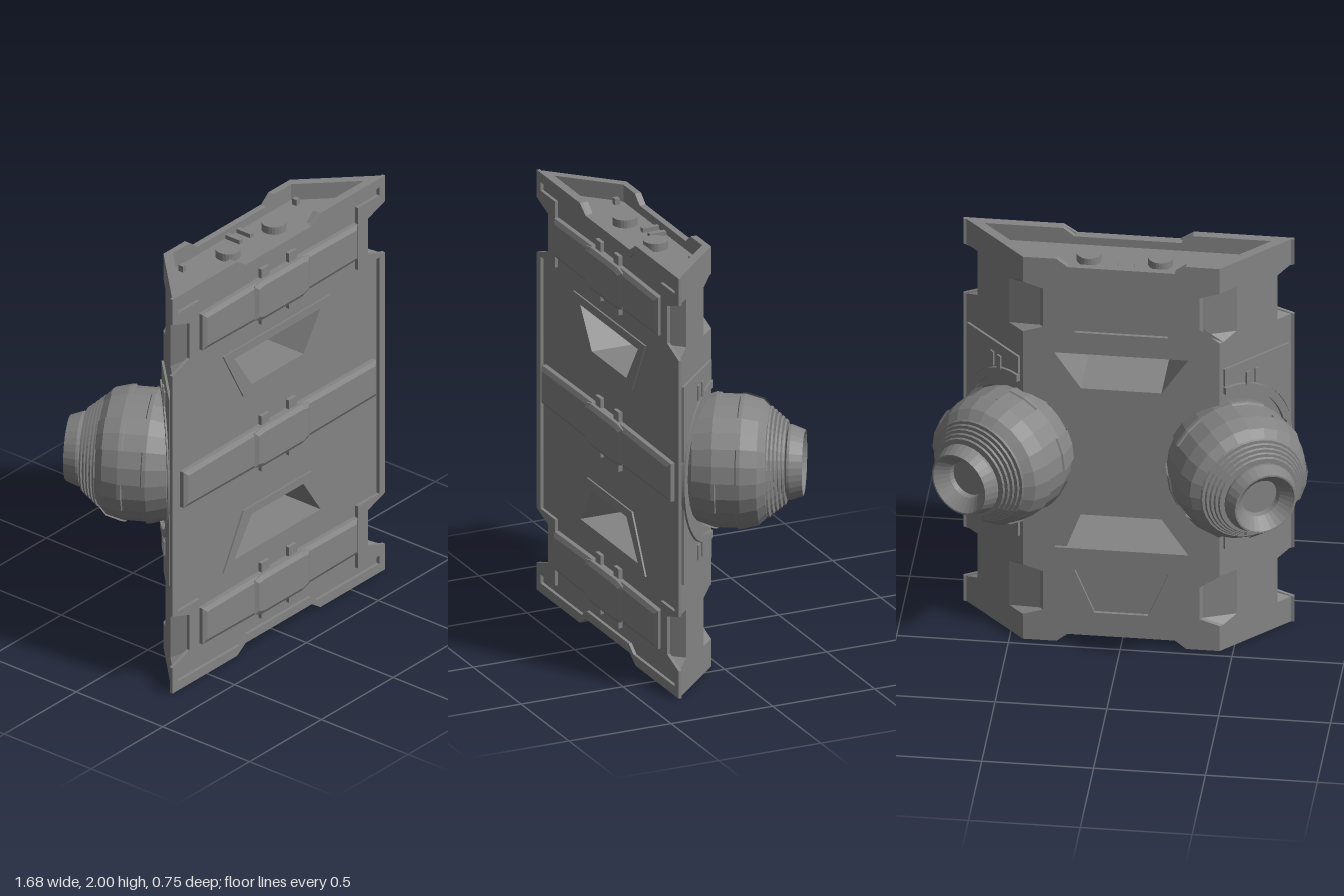
import * as THREE from 'three';

const mat = new THREE.MeshStandardMaterial({ color: 0x848484, flatShading: true, side: THREE.DoubleSide });

function add(parent, name, geo, x = 0, y = 0, z = 0) {
  const m = new THREE.Mesh(geo, mat);
  m.name = name;
  m.position.set(x, y, z);
  parent.add(m);
}
const poly = (pts) => new THREE.Shape(pts.map(([x, y]) => new THREE.Vector2(x, y)));
// Closes a right-hand outline with its mirror image
const mirrorX = (pts) => [...pts, ...pts.map(([x, y]) => [-x, y]).reverse()];
// Closes an upper-right outline (listed upward) in both directions
const mirrorXY = (pts) => mirrorX([...pts.map(([x, y]) => [x, 2 - y]).reverse(), ...pts]);
const extrude = (shape, depth, steps = 1) =>
  new THREE.ExtrudeGeometry(shape, { depth, steps, bevelEnabled: false });
const extrudeUp = (shape, depth) => extrude(shape, depth).rotateX(-Math.PI / 2);
// Trapezoid, wide at y0 and narrow at y1
const trapezoid = (wide, narrow, y0, y1) => [[-wide, y0], [wide, y0], [narrow, y1], [-narrow, y1]];
const windows = [trapezoid(0.3, 0.18, 1.51, 1.33), trapezoid(0.3, 0.18, 0.49, 0.67)];

// Body slab: front outline swept backward, sides sloping in, corners notched
function slab(z0, z1, steps, holes) {
  const s = poly(mirrorXY([[0.74, 1.61], [0.67, 1.64], [0.67, 1.84], [0.74, 1.87], [0.74, 1.92]]));
  s.holes = holes.map(poly);
  const g = extrude(s, z1 - z0, steps).translate(0, 0, z0);
  const p = g.attributes.position;
  for (let i = 0; i < p.count; i++) {
    const x = Math.abs(p.getX(i)), z = p.getZ(i);
    if (x < 0.6) continue;
    let nx = 0.74 - (0.34 - z);
    if (x < 0.7) {
      if (z > 0.3) nx -= 0.105;
      if (z < 0.06) nx -= 0.09;
    }
    p.setX(i, Math.sign(p.getX(i)) * nx);
  }
  g.computeVertexNormals();
  return g;
}

function buildBody(g) {
  add(g, 'bodyCore', slab(0.055, 0.325, 5, windows));
  add(g, 'backPlate', slab(0.04, 0.055, 1, [...windows,
    trapezoid(0.21, 0.12, 1.62, 1.84), trapezoid(0.21, 0.12, 0.38, 0.16)]));

  // Raised frame around the front
  const frame = poly(mirrorXY([[0.74, 1.61], [0.62, 1.65], [0.62, 1.83], [0.74, 1.87],
    [0.74, 2], [0.29, 2], [0.23, 1.96]]));
  frame.holes = [poly(mirrorXY([[0.7, 1.6], [0.55, 1.6], [0.55, 1.915], [0.7, 1.915],
    [0.7, 1.955], [0.27, 1.955], [0.22, 1.92]]))];
  add(g, 'frontFrame', extrude(frame, 0.015), 0, 0, 0.325);

  // Window surrounds
  [trapezoid(0.375, 0.235, 1.55, 1.29), trapezoid(0.375, 0.235, 0.45, 0.71)].forEach((pts, i) => {
    const s = poly(pts);
    s.holes = [poly(windows[i])];
    add(g, 'windowFrame', extrude(s, 0.008), 0, 0, 0.325);
  });
}

// End of the slab: rim wall with a lowered middle, knobs and slots
function buildEnd() {
  const e = new THREE.Group();
  e.name = 'endCap';
  const ring = poly([[-0.725, -0.325], [0.725, -0.325], [0.44, -0.04], [-0.44, -0.04]]);
  ring.holes = [poly([[-0.64, -0.3], [0.64, -0.3], [0.41, -0.07], [-0.41, -0.07]])];
  add(e, 'rim', extrudeUp(ring, 0.05), 0, 1.91, 0);
  for (const s of [-1, 1]) {
    const c = extrudeUp(poly([[0.24, -0.325], [0.725, -0.325], [0.44, -0.04], [0.24, -0.04],
      [0.24, -0.07], [0.41, -0.07], [0.64, -0.3], [0.24, -0.3]].map(([x, y]) => [s * x, y])), 0.04);
    const p = c.attributes.position;
    for (let i = 0; i < p.count; i++)
      if (Math.abs(p.getX(i)) < 0.25 && p.getY(i) > 0.02) p.setX(i, s * 0.29);
    c.computeVertexNormals();
    add(e, 'raisedRim', c, 0, 1.96, 0);
    add(e, 'knob', new THREE.CylinderGeometry(0.056, 0.056, 0.04, 24), s * 0.16, 1.937, 0.18);
    add(e, 'slotBar', new THREE.BoxGeometry(0.024, 0.03, 0.08), s * 0.037, 1.925, 0.115);
    add(e, 'cornerStud', new THREE.BoxGeometry(0.024, 0.04, 0.024), s * 0.395, 1.93, 0.112);
  }
  return e;
}

const bevelled = (pts, depth) => new THREE.ExtrudeGeometry(poly(pts), {
  depth, bevelThickness: 0.012, bevelSize: 0.02, bevelOffset: -0.02, bevelSegments: 1 });

// Front strap with a thicker centre and low clips
function buildStrap(g, y, half) {
  const strap = new THREE.Group();
  strap.name = 'strap';
  strap.position.set(0, y, 0.325);
  const band = mirrorX([[0.2, -0.095], [half, -0.09], [half, 0.09], [0.2, 0.095]]);
  const centre = mirrorX([[0.14, -0.102], [0.19, -0.085], [0.19, 0.085], [0.14, 0.095]]);
  add(strap, 'strapBand', bevelled(band, 0.022));
  add(strap, 'strapCentre', bevelled(centre, 0.034));
  for (const x of [-0.095, 0.095]) for (const s of [-1, 1])
    add(strap, 'clip', new THREE.BoxGeometry(0.055, 0.05, 0.03), x, s * 0.115, 0.003);
  g.add(strap);
}

// Sloping side: corner panels cut around the ball, socket ring and slots
function buildSide(s) {
  const side = new THREE.Group();
  side.name = s > 0 ? 'leftSide' : 'rightSide';
  side.position.set(s * 0.455, 1, 0.055);
  if (s > 0) side.rotation.set(0, Math.PI * 0.75, Math.PI);
  else side.rotation.set(0, Math.PI * 1.25, 0);
  const ring = new THREE.Shape();
  ring.absarc(0, 0, 0.375, -Math.PI / 2, Math.PI / 2, false);
  ring.absarc(0, 0, 0.34, Math.PI / 2, -Math.PI / 2, true);
  add(side, 'socketRing', new THREE.ExtrudeGeometry(ring, { depth: 0.018, bevelEnabled: false, curveSegments: 24 }));
  for (const v of [-1, 1]) {
    const pts = [[0, 0.47 * v], [0.365, 0.47 * v]];
    for (let i = 0; i <= 12; i++) {
      const a = 0.3 + (Math.PI / 2 - 0.3) * i / 12;
      pts.push([0.38 * Math.cos(a), 0.38 * Math.sin(a) * v]);
    }
    add(side, 'sidePanel', extrude(poly(pts), 0.011));
    for (const u of [0.13, 0.18])
      add(side, 'sideSlot', new THREE.BoxGeometry(0.025, 0.07, 0.012), u, 0.38 * v, 0.013);
  }
  return side;
}

const lathe = (pts, seg = 24, start = 0, len = Math.PI * 2) =>
  new THREE.LatheGeometry(pts.map(([r, t]) => new THREE.Vector2(r, t)), seg, start, len);

// Ball thruster with armour tabs, cooling fins and a hollow nozzle
function buildThruster(s) {
  const b = new THREE.Group();
  b.name = s > 0 ? 'leftThruster' : 'rightThruster';
  b.position.set(s * 0.52, 1, -0.015);
  b.rotation.order = 'YXZ';
  b.rotation.set(-Math.PI / 2, -s * Math.PI / 6, 0);
  add(b, 'ball', lathe([[0, -0.3], [0.12, -0.28], [0.2, -0.225], [0.27, -0.15],
    [0.3, -0.06], [0.3, 0.065], [0.28, 0.14], [0.245, 0.175], [0.12, 0.175]]));
  const n = 6, step = Math.PI * 2 / n;
  for (let i = 0; i < n; i++) {
    add(b, 'upperTab', lathe([[0.3, 0.045], [0.307, 0.05], [0.307, 0.067], [0.287, 0.143],
      [0.25, 0.178]], 2, i * step, step / 2));
    add(b, 'lowerTab', lathe([[0.262, -0.16], [0.277, -0.153], [0.307, -0.062],
      [0.307, -0.045], [0.3, -0.04]], 2, (i + 0.5) * step, step / 2));
  }
  for (let i = 0; i < 5; i++)
    add(b, 'fin', new THREE.CylinderGeometry(0.245 - i * 0.014, 0.25 - i * 0.014, 0.008, 32), 0, 0.184 + i * 0.017, 0);
  add(b, 'nozzle', lathe([[0.145, 0.17], [0.145, 0.255], [0.169, 0.264], [0.169, 0.276], [0.148, 0.333],
    [0.14, 0.333], [0.09, 0.28], [0.08, 0.235], [0, 0.235]], 32));
  add(b, 'nozzleCore', lathe([[0.045, 0.235], [0.045, 0.255], [0.03, 0.255], [0.025, 0.245], [0, 0.245]], 20));
  return b;
}

export function createModel() {
  const g = new THREE.Group();
  g.name = 'thrusterPack';
  buildBody(g);
  g.add(buildEnd());
  const bottom = buildEnd();
  bottom.rotation.z = Math.PI;
  bottom.position.y = 2;
  g.add(bottom);
  buildStrap(g, 1.75, 0.54);
  buildStrap(g, 1.005, 0.67);
  buildStrap(g, 0.258, 0.54);
  for (const s of [-1, 1]) g.add(buildSide(s), buildThruster(s));
  return g;
}
